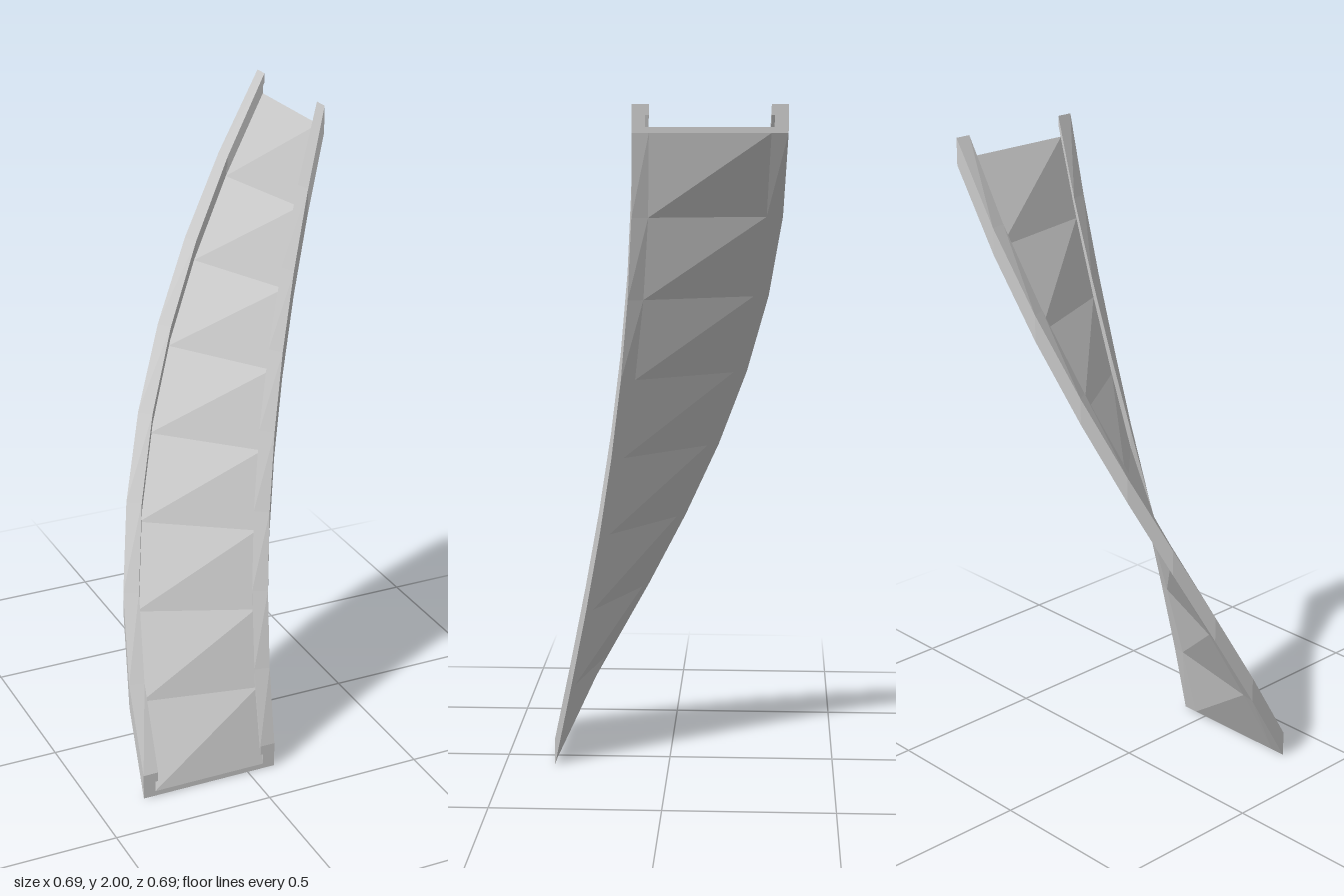
import * as THREE from 'three';

const CENTRE = 0.3475;  // turning axis in x and z
const STEPS = 8;        // segments in the quarter turn
const RISE = 1.92;

// Cross-section as (radius, height): thin floor with a lipped rail on each side
const SECTION = [
  [0.257, 0], [0.305, 0], [0.6475, 0], [0.695, 0],     // underside
  [0.695, 0.08], [0.6475, 0.08], [0.6475, 0.05],       // outer rail and lip
  [0.657, 0.05], [0.657, 0.016],
  [0.295, 0.016], [0.295, 0.05],                       // floor, inner rail
  [0.305, 0.05], [0.305, 0.08], [0.257, 0.08],
].map(([r, y]) => new THREE.Vector2(r, y));

// Point j of the section, carried to step i of the climb
function place(i, j) {
  const { x: r, y } = SECTION[j % SECTION.length];
  const a = (i / STEPS) * Math.PI / 2;
  return [CENTRE - r * Math.cos(a), y + RISE * i / STEPS, CENTRE - r * Math.sin(a)];
}

function spiralChannel() {
  const pos = [];
  const tri = (a, b, c) => pos.push(...a, ...b, ...c);

  // Skin between neighbouring sections
  for (let i = 0; i < STEPS; i++) {
    for (let j = 0; j < SECTION.length; j++) {
      const a = place(i, j), b = place(i, j + 1);
      const c = place(i + 1, j + 1), d = place(i + 1, j);
      tri(a, b, c);
      tri(a, c, d);
    }
  }

  // End caps
  for (const [a, b, c] of THREE.ShapeUtils.triangulateShape(SECTION, [])) {
    tri(place(0, a), place(0, c), place(0, b));
    tri(place(STEPS, a), place(STEPS, b), place(STEPS, c));
  }

  const geo = new THREE.BufferGeometry();
  geo.setAttribute('position', new THREE.Float32BufferAttribute(pos, 3));
  geo.computeVertexNormals();
  return geo;
}

export function createModel() {
  const group = new THREE.Group();
  group.name = 'spiralRamp';
  const material = new THREE.MeshStandardMaterial({ color: 0xcccccc, flatShading: true });
  const ramp = new THREE.Mesh(spiralChannel(), material);
  ramp.name = 'railedRamp';
  group.add(ramp);
  return group;
}
